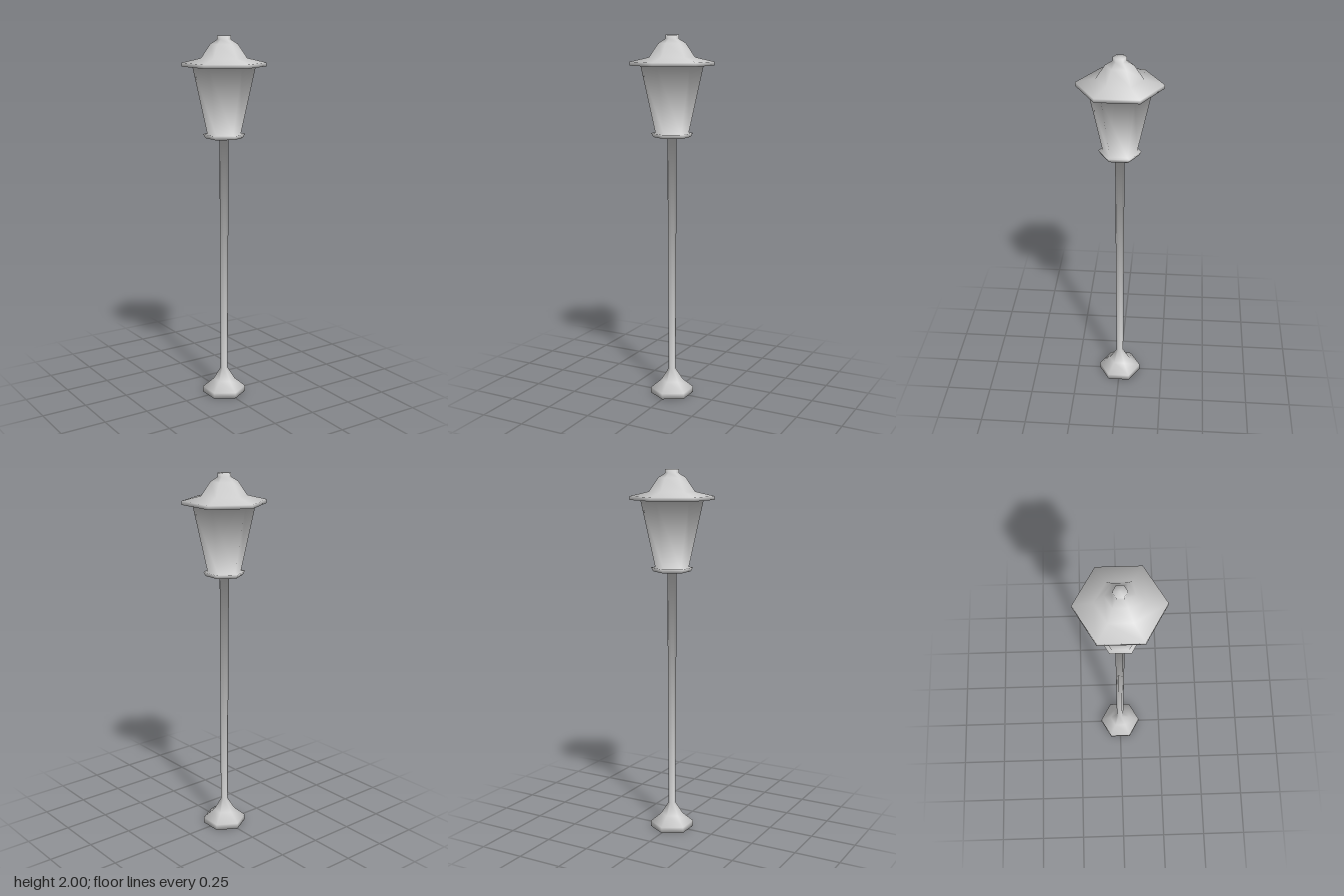
import * as THREE from 'three';

const SIDES = 6;

// One outline, [radius at the corners, height], running from the foot to the finial
const profile = [
  [0, 0], [0.12, 0], [0.12, 0.032], [0.06, 0.08], [0.02, 0.145],
  [0.025, 1.46], [0.1, 1.46], [0.113, 1.482], [0.09, 1.482],
  [0.168, 1.84], [0.225, 1.84], [0.225, 1.86], [0.122, 1.884],
  [0.073, 1.957], [0.036, 1.98], [0.036, 2], [0, 2],
].map(([r, y]) => new THREE.Vector2(r, y));

// Outward unit normal of each outline segment
const segmentNormals = profile.slice(1).map((p, i) => {
  const d = p.clone().sub(profile[i]).normalize();
  return new THREE.Vector2(d.y, -d.x);
});

// Smooth normal at an outline point, so shading flows from part to part
function smoothNormal(k) {
  const n = new THREE.Vector2();
  if (k > 0) n.add(segmentNormals[k - 1]);
  if (k < segmentNormals.length) n.add(segmentNormals[k]);
  if (profile[k].x === 0) n.x = 0;
  return n.normalize();
}

// Six-sided smooth part spanning outline points first..last
function latheSection(first, last) {
  const points = profile.slice(first, last + 1);
  const geometry = new THREE.LatheGeometry(points, SIDES);
  const normals = geometry.attributes.normal;
  for (let i = 0; i <= SIDES; i++) {
    const a = (i / SIDES) * Math.PI * 2;
    for (let j = 0; j < points.length; j++) {
      const n = smoothNormal(first + j);
      normals.setXYZ(i * points.length + j, n.x * Math.sin(a), n.y, n.x * Math.cos(a));
    }
  }
  return geometry;
}

export function createModel() {
  const model = new THREE.Group();
  model.name = 'streetLamp';
  const material = new THREE.MeshStandardMaterial({ color: 0xcccccc });

  const parts = [
    ['base', 0, 4],
    ['pole', 4, 5],
    ['collar', 5, 8],
    ['lantern', 8, 9],
    ['roof', 9, 14],
    ['finial', 14, 16],
  ];
  for (const [name, first, last] of parts) {
    const mesh = new THREE.Mesh(latheSection(first, last), material);
    mesh.name = name;
    model.add(mesh);
  }
  return model;
}
